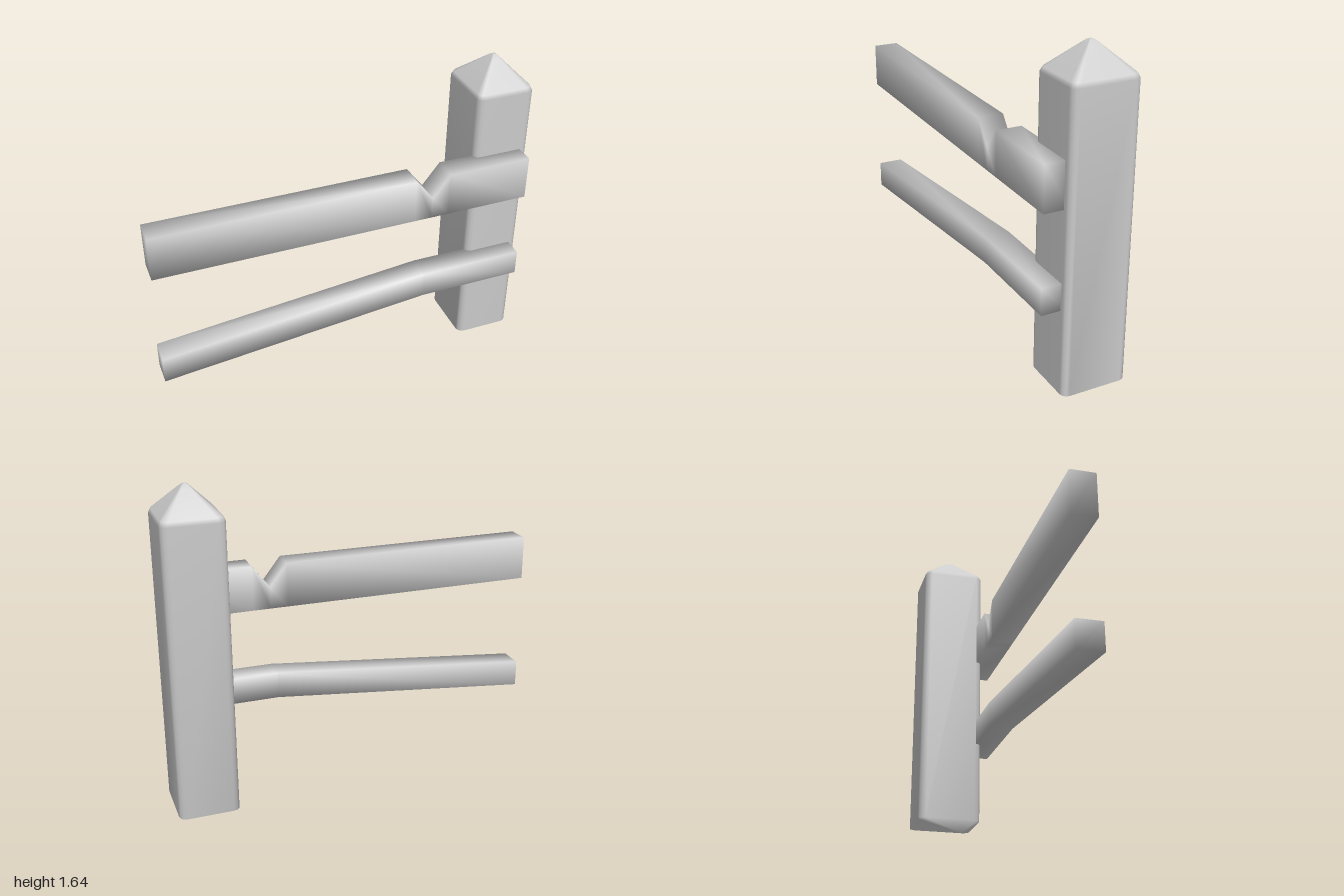
import * as THREE from 'three';

const material = new THREE.MeshStandardMaterial({ color: 0xcccccc });

// Skins a list of equal-sized rings into a closed, smooth-shaded solid.
function loft(name, rings) {
  const n = rings[0].length, last = (rings.length - 1) * n, index = [];
  for (let i = 0; i < rings.length - 1; i++) {
    for (let j = 0; j < n; j++) {
      const a = i * n + j, a1 = i * n + (j + 1) % n;
      index.push(a, a + n, a1, a1, a + n, a1 + n);
    }
  }
  for (let j = 1; j < n - 1; j++) {
    index.push(0, j, j + 1, last, last + j + 1, last + j);
  }
  const geometry = new THREE.BufferGeometry();
  geometry.setAttribute('position', new THREE.Float32BufferAttribute(rings.flat(2), 3));
  geometry.setIndex(index);
  geometry.computeVertexNormals();
  const mesh = new THREE.Mesh(geometry, material);
  mesh.name = name;
  return mesh;
}

// Horizontal rounded rectangle of the post at height y.
function postRing(y, scale) {
  const cx = 0.8475, cz = -0.05, r = 0.035 * scale;
  const hw = 0.1525 * scale - r, hd = 0.17 * scale - r;
  const ring = [];
  for (let q = 0; q < 4; q++) {
    const sx = q === 0 || q === 3 ? 1 : -1, sz = q < 2 ? 1 : -1;
    for (let k = 0; k < 4; k++) {
      const t = (q + k / 3) * Math.PI / 2;
      ring.push([cx + sx * hw + r * Math.cos(t), y, cz + sz * hd + r * Math.sin(t)]);
    }
  }
  return ring;
}

// Rail from stations of [x, bottom, top].
function rail(name, stations) {
  const back = 0.09, front = 0.22;
  return loft(name, stations.map(([x, low, high]) => [
    [x, low, back], [x, low, front], [x, high, front], [x, high, back],
  ]));
}

export function createModel() {
  const group = new THREE.Group();
  group.name = 'fenceSection';

  // Post with a softened pyramid top
  const profile = [[0, 1], [1.48, 1], [1.502, 0.945], [1.616, 0.2], [1.632, 0.09], [1.638, 0.01]];
  group.add(loft('post', profile.map(([y, s]) => postRing(y, s))));

  // Upper rail with a V-shaped notch
  group.add(rail('upperRail', [
    [-1, 0.93, 1.16], [0.335, 0.93, 1.16], [0.425, 0.93, 1.045],
    [0.515, 0.93, 1.16], [0.953, 0.93, 1.16],
  ]));

  // Lower rail, bent down toward its free end
  group.add(rail('lowerRail', [[-1, 0.29, 0.43], [0.4, 0.435, 0.572], [0.953, 0.435, 0.572]]));

  return group;
}
